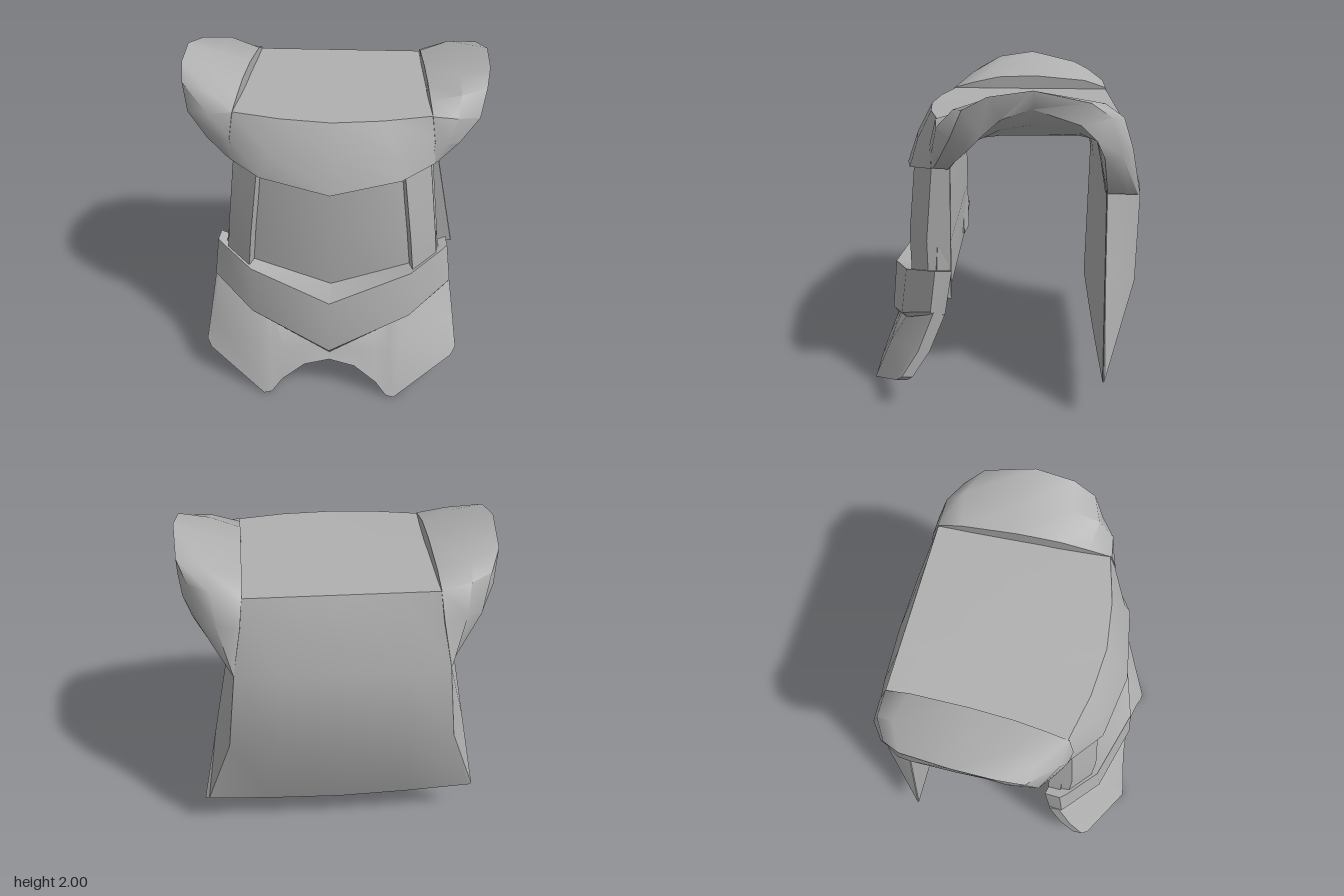
import * as THREE from 'three';
import { toCreasedNormals } from 'three/addons/utils/BufferGeometryUtils.js';

const steel = new THREE.MeshStandardMaterial({ color: 0xb0b0b0 });
steel.name = 'grey steel';

// Skin a list of closed rings; each end is capped by pairing the ring's two sides
function loft(name, rings, crease = 0.6) {
  const n = rings[0].length, last = (rings.length - 1) * n, index = [];
  const quad = (a, b, c, d) => index.push(a, b, c, a, c, d);
  for (let r = 0; r < rings.length - 1; r++) {
    for (let i = 0; i < n; i++) {
      const j = (i + 1) % n;
      quad(r * n + i, (r + 1) * n + i, (r + 1) * n + j, r * n + j);
    }
  }
  for (let i = 0; i < n / 2 - 1; i++) {
    quad(i, i + 1, n - 2 - i, n - 1 - i);
    quad(last + n - 1 - i, last + n - 2 - i, last + i + 1, last + i);
  }
  const geometry = new THREE.BufferGeometry();
  geometry.setAttribute('position', new THREE.Float32BufferAttribute(rings.flat(2), 3));
  geometry.setIndex(index);
  const mesh = new THREE.Mesh(toCreasedNormals(geometry, crease), steel);
  mesh.name = name;
  return mesh;
}

const flip = ([x, y, z]) => [-x, y, z];

// Symmetric thick plate; rows run from the centre line out to +x
function plate(name, outer, inner, crease) {
  const full = row => [...row.slice(1).reverse().map(flip), ...row];
  return loft(name, outer.map((row, i) => [...full(row), ...full(inner[i]).reverse()]), crease);
}

// Left part plus its mirror image
function pair(name, rings, crease) {
  const group = new THREE.Group();
  group.name = name + 's';
  group.add(loft(name + 'Left', rings, crease));
  group.add(loft(name + 'Right', rings.map(r => r.map(flip).reverse()), crease));
  return group;
}

export function createModel() {
  const model = new THREE.Group();
  model.name = 'bodyArmour';

  // Back plate, bottom to top
  model.add(plate('backPlate', [
    [[0, .22, -.64], [.45, .23, -.635], [.86, .25, -.63], [.885, .25, -.62]],
    [[0, .83, -.85], [.38, .83, -.84], [.68, .83, -.80], [.77, .83, -.62]],
    [[0, 1.34, -.855], [.36, 1.34, -.845], [.62, 1.34, -.815], [.665, 1.36, -.62]],
    [[0, 1.78, -.70], [.3, 1.78, -.70], [.55, 1.78, -.70], [.57, 1.72, -.56]],
  ], [
    [[0, .22, -.615], [.45, .23, -.615], [.85, .25, -.615], [.88, .25, -.615]],
    [[0, .83, -.615], [.38, .83, -.615], [.70, .83, -.615], [.765, .83, -.615]],
    [[0, 1.34, -.615], [.36, 1.34, -.615], [.60, 1.34, -.615], [.66, 1.36, -.615]],
    [[0, 1.68, -.58], [.3, 1.68, -.58], [.54, 1.68, -.57], [.56, 1.68, -.55]],
  ], 0.5));

  // Mantle over the neck, ending in the pointed front collar
  model.add(plate('mantle', [
    [[0, 1.78, -.70], [.3, 1.78, -.70], [.55, 1.78, -.70]],
    [[0, 1.78, -.20], [.3, 1.78, -.20], [.57, 1.78, -.20]],
    [[0, 1.77, .47], [.3, 1.775, .44], [.59, 1.78, .37]],
    [[0, 1.58, .57], [.38, 1.61, .52], [.61, 1.63, .41]],
    [[0, 1.38, .64], [.42, 1.45, .565], [.62, 1.49, .41]],
  ], [
    [[0, 1.68, -.58], [.3, 1.68, -.58], [.54, 1.68, -.57]],
    [[0, 1.68, -.20], [.3, 1.68, -.20], [.56, 1.68, -.20]],
    [[0, 1.68, .30], [.3, 1.68, .30], [.57, 1.68, .28]],
    [[0, 1.56, .47], [.38, 1.59, .42], [.59, 1.60, .29]],
    [[0, 1.41, .53], [.42, 1.47, .46], [.60, 1.50, .30]],
  ], 0.75));

  // Shoulder guards, back to front: upper skin (inner, middle, ridge) ...
  const upper = [
    [[.62, 1.345, -.815], [.63, 1.35, -.80], [.65, 1.355, -.74]],
    [[.57, 1.62, -.76], [.70, 1.64, -.75], [.80, 1.62, -.68]],
    [[.55, 1.79, -.70], [.72, 1.82, -.69], [.85, 1.84, -.61]],
    [[.55, 1.84, -.55], [.74, 1.90, -.58], [.91, 1.93, -.49]],
    [[.56, 1.87, -.20], [.75, 1.93, -.20], [.945, 2.0, -.18]],
    [[.57, 1.86, .06], [.76, 1.92, .09], [.94, 1.965, .06]],
    [[.58, 1.82, .24], [.76, 1.865, .26], [.915, 1.89, .20]],
    [[.59, 1.78, .38], [.74, 1.76, .36], [.88, 1.73, .27]],
    [[.61, 1.63, .415], [.68, 1.61, .395], [.76, 1.595, .34]],
    [[.60, 1.49, .415], [.61, 1.49, .41], [.635, 1.495, .395]],
  ];
  // ... and lower skin (rim, middle, inner)
  const lower = [
    [[.665, 1.36, -.62], [.64, 1.36, -.615], [.60, 1.36, -.61]],
    [[.84, 1.61, -.58], [.70, 1.60, -.57], [.56, 1.60, -.57]],
    [[.89, 1.72, -.53], [.75, 1.70, -.54], [.56, 1.68, -.55]],
    [[.915, 1.81, -.44], [.75, 1.73, -.45], [.56, 1.68, -.45]],
    [[.935, 1.90, -.18], [.75, 1.78, -.18], [.57, 1.68, -.18]],
    [[.92, 1.84, -.01], [.75, 1.75, 0], [.57, 1.68, 0]],
    [[.905, 1.74, .10], [.76, 1.68, .15], [.58, 1.66, .18]],
    [[.86, 1.65, .18], [.74, 1.62, .20], [.59, 1.62, .25]],
    [[.74, 1.56, .26], [.68, 1.55, .26], [.60, 1.55, .27]],
    [[.63, 1.49, .31], [.62, 1.49, .305], [.60, 1.49, .30]],
  ];
  model.add(pair('shoulderGuard', upper.map((row, i) => [...row, ...lower[i]]), 1));

  // Recessed breast panel with a flat back
  const panel = [
    [[0, 1.58, .52], [.46, 1.58, .46], [.58, 1.58, .37]],
    [[0, 1.05, .54], [.50, 1.05, .48], [.65, 1.05, .38]],
    [[0, .62, .54], [.54, .62, .48], [.72, .62, .39]],
  ];
  const panelBack = [.30, .30, .34];
  model.add(plate('breastPanel', panel,
    panel.map((row, i) => row.map(([x, y]) => [x, y, panelBack[i]]))));

  // Raised posts either side of the panel
  const post = (y, x, z, lift = 0) => [
    [.42 + x, y, .46 + z], [.44 + x, y, .535 + z], [.595 + x, y + lift, .41 + z],
    [.61 + x, y + lift, .30], [.52 + x, y + lift, .305], [.42 + x, y, .32],
  ];
  model.add(pair('breastPost', [post(1.465, 0, 0, .035), post(1.05, .05, .035), post(.70, .085, .025)], 0.4));

  // Pointed belt
  model.add(plate('belt', [
    [[0, .67, .75], [.50, .81, .60], [.70, .88, .43], [.735, .89, .39]],
    [[0, .32, .785], [.50, .51, .64], [.72, .62, .46], [.765, .64, .42]],
    [[0, .28, .75], [.50, .48, .60], [.72, .60, .44], [.765, .62, .40]],
  ], [
    [[0, .67, .40], [.50, .81, .35], [.69, .88, .30], [.73, .89, .29]],
    [[0, .645, .36], [.50, .645, .36], [.70, .64, .34], [.755, .64, .33]],
    [[0, .63, .37], [.50, .63, .37], [.70, .62, .35], [.755, .62, .335]],
  ]));

  // Flared skirt with a notch in the middle; its back slopes in to the flat panel back
  model.add(plate('skirt', [
    [[0, .38, .70], [.16, .43, .66], [.30, .48, .61], [.38, .51, .59], [.45, .54, .57], [.74, .63, .42], [.765, .64, .40]],
    [[0, .29, .735], [.16, .30, .73], [.30, .29, .73], [.38, .28, .73], [.44, .28, .73], [.78, .38, .53], [.80, .39, .50]],
    [[0, .235, .77], [.16, .20, .785], [.30, .10, .82], [.37, .01, .845], [.42, 0, .85], [.79, .19, .64], [.82, .23, .60]],
  ], [
    [[0, .62, .34], [.16, .62, .34], [.30, .62, .34], [.38, .62, .34], [.45, .62, .34], [.74, .62, .34], [.765, .62, .335]],
    [[0, .29, .655], [.16, .31, .64], [.30, .32, .63], [.38, .32, .62], [.44, .33, .60], [.78, .38, .46], [.80, .39, .43]],
    [[0, .235, .705], [.16, .20, .72], [.30, .10, .755], [.37, .01, .78], [.42, 0, .785], [.79, .19, .575], [.82, .23, .535]],
  ]));

  return model;
}
